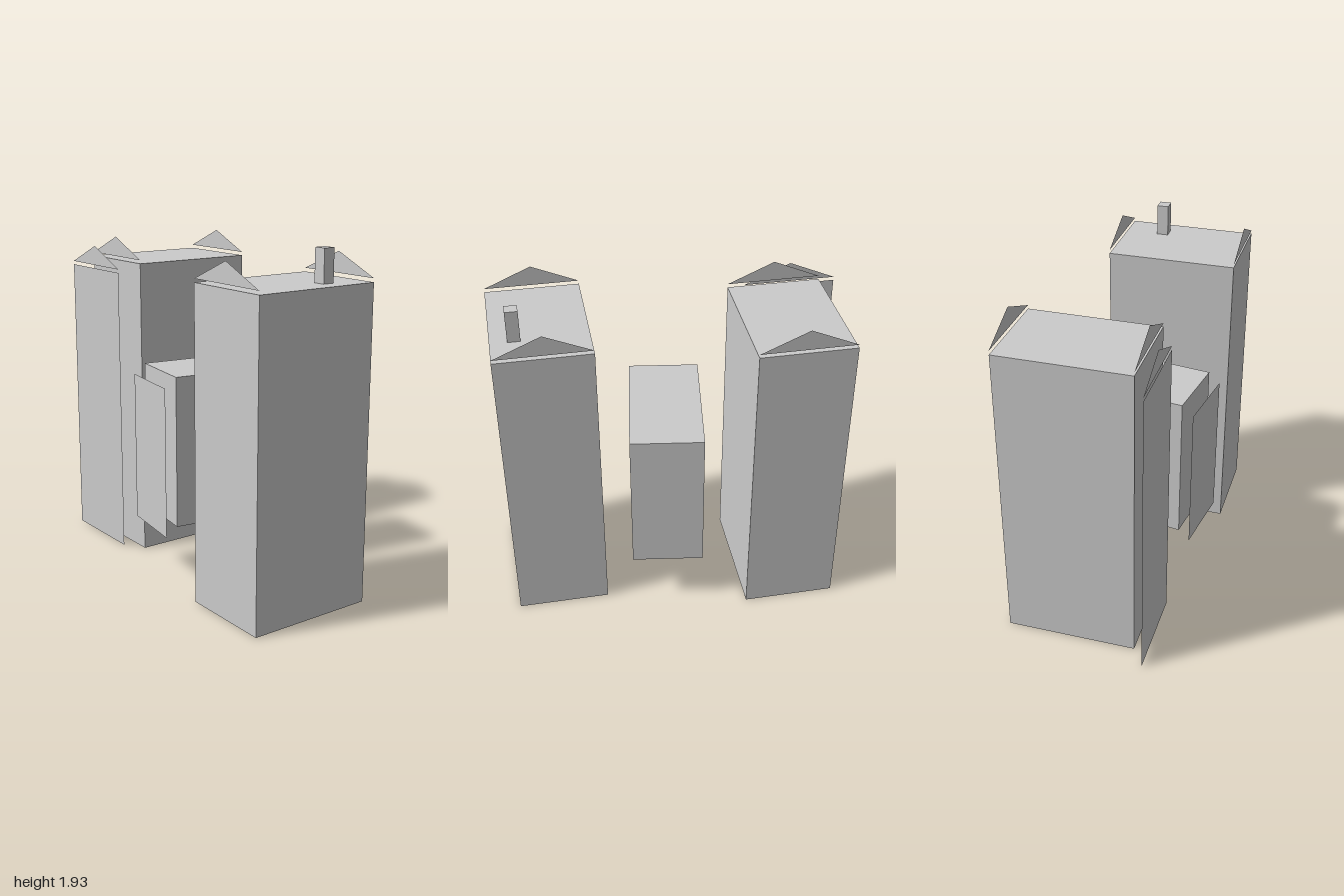
import * as THREE from 'three';

const W = 0.531, D = 0.74, H = 1.75, GAP = 0.02, RISE = 0.115;

export function createModel() {
  const model = new THREE.Group();
  const solid = new THREE.MeshStandardMaterial({ color: 0xcccccc, flatShading: true });
  const thin = new THREE.MeshStandardMaterial({ color: 0xcccccc, side: THREE.DoubleSide });

  const add = (parent, name, geometry, material, x, y, z) => {
    const mesh = new THREE.Mesh(geometry, material);
    mesh.name = name;
    mesh.position.set(x, y, z);
    parent.add(mesh);
    return mesh;
  };

  // Flat triangular gable, base centred on its origin
  const gable = new THREE.ShapeGeometry(new THREE.Shape([
    new THREE.Vector2(-W / 2, 0), new THREE.Vector2(W / 2, 0), new THREE.Vector2(0, RISE),
  ]));

  // Tall block with a floating gable over each end
  const tower = (name, x, z) => {
    const group = new THREE.Group();
    group.name = name;
    group.position.set(x, 0, z);
    add(group, name + 'Block', new THREE.BoxGeometry(W, H, D), solid, 0, H / 2, 0);
    add(group, name + 'FrontGable', gable, thin, 0, H + GAP, D / 2);
    add(group, name + 'BackGable', gable, thin, 0, H + GAP, -D / 2);
    model.add(group);
    return group;
  };
  tower('rightTower', -0.617, -0.1);
  const leftTower = tower('leftTower', 0.733, 0.095);

  // Chimney on the left tower
  add(leftTower, 'chimney', new THREE.BoxGeometry(0.07, 0.18, 0.066), solid, 0.136, H + 0.09, -0.148);

  // Thin facade standing in front of the right tower
  const facade = new THREE.Group();
  facade.name = 'facade';
  facade.position.set(-0.735, 0, 0.347);
  add(facade, 'facadePanel', new THREE.PlaneGeometry(W, 1.69), thin, 0, 0.845, 0);
  add(facade, 'facadeGable', gable, thin, 0, 1.69 + GAP, 0);
  model.add(facade);

  // Raised, slightly turned middle block with a panel before its front
  const middle = new THREE.Group();
  middle.name = 'middleBlock';
  middle.position.set(0.058, 0.77, -0.003);
  middle.rotation.y = -0.146;
  add(middle, 'middleBody', new THREE.BoxGeometry(0.41, 0.86, 0.763), solid, 0, 0, 0);
  add(middle, 'middlePanel', new THREE.PlaneGeometry(0.41, 0.86), thin, 0, -0.056, 0.447);
  model.add(middle);

  return model;
}
